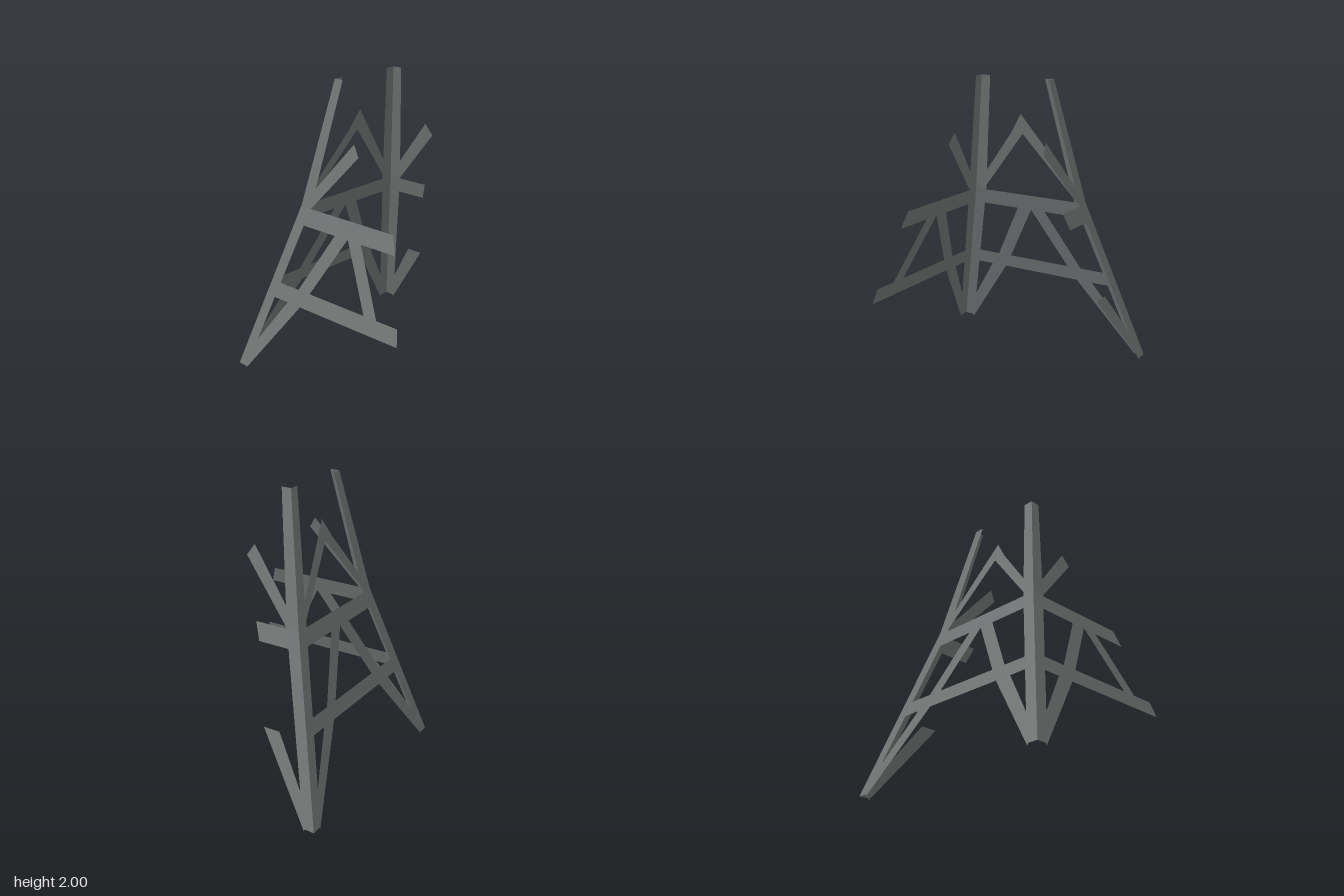
import * as THREE from 'three';

const AXIS_Z = 0.125; // centre line of the four-sided tower

// Half width of the tapering tower at a height; the slope changes at the upper beam
function halfWidth(y) {
  return y < 1.17
    ? THREE.MathUtils.mapLinear(y, 0.015, 1.17, 0.777, 0.445)
    : THREE.MathUtils.mapLinear(y, 1.17, 2, 0.445, 0.28);
}

// Each tower face maps (u across, y up, d distance from the axis) to space
const faces = {
  back: (u, y, d) => [u, y, AXIS_Z - d],
  right: (u, y, d) => [-d, y, AXIS_Z + u],
  left: (u, y, d) => [d, y, AXIS_Z + u],
};

export function createModel() {
  const steel = new THREE.MeshStandardMaterial({ color: 0x707473, side: THREE.DoubleSide });
  steel.name = 'weatheredSteel';
  const tower = new THREE.Group();
  tower.name = 'brokenLatticeTower';

  // Flat convex plate lying in one tower face
  function plate(parent, name, face, points, inset = 0.003) {
    const p = points.map(([u, y]) => faces[face](u, y, halfWidth(y) - inset));
    const pos = [];
    for (let i = 1; i < p.length - 1; i++) {
      pos.push(...p[0], ...(face === 'left' ? [...p[i + 1], ...p[i]] : [...p[i], ...p[i + 1]]));
    }
    const geo = new THREE.BufferGeometry();
    geo.setAttribute('position', new THREE.Float32BufferAttribute(pos, 3));
    geo.computeVertexNormals();
    const mesh = new THREE.Mesh(geo, steel);
    mesh.name = name;
    parent.add(mesh);
  }
  const mirror = (points) => points.map(([u, y]) => [-u, y]).reverse();
  const group = (name) => {
    const g = new THREE.Group();
    g.name = name;
    tower.add(g);
    return g;
  };

  // Angle-section legs: two flanges meeting at the outer corner, bent at the upper beam
  const stations = [[0.015, 0.077], [1.17, 0.088], [2, 0.068]];
  for (const side of ['left', 'right']) {
    const leg = group(side + 'Leg');
    for (let i = 0; i < 2; i++) {
      const [y0, w0] = stations[i];
      const [y1, w1] = stations[i + 1];
      const a = halfWidth(y0), b = halfWidth(y1);
      const flange = [[-a, y0], [-a + w0, y0], [-b + w1, y1], [-b, y1]];
      plate(leg, 'sideFlange', side, flange, 0);
      plate(leg, 'backFlange', 'back', side === 'left' ? mirror(flange) : flange, 0);
    }
  }

  // Shared bracing outlines, drawn on the half with negative u
  const footBrace = [[-0.705, 0], [-0.3, 0.54], [-0.42, 0.54], [-0.73, 0.09]];
  const middleBrace = [[-0.355, 0.62], [-0.25, 0.62], [0, 1.05], [-0.11, 1.05]];
  const peakBrace = [[-0.38, 1.16], [0, 1.61], [0, 1.75], [-0.055, 1.655], [-0.38, 1.25]];
  const snappedBrace = [[-0.36, 1.16], [-0.005, 1.555], [-0.055, 1.63], [-0.385, 1.24]];

  // Complete back face
  const back = group('backBracing');
  plate(back, 'lowerBeam', 'back', [[-0.58, 0.54], [0.58, 0.54], [0.56, 0.64], [-0.56, 0.64]]);
  plate(back, 'upperBeam', 'back', [[-0.43, 1.05], [0.43, 1.05], [0.41, 1.16], [-0.41, 1.16]]);
  for (const shape of [(s) => s, mirror]) {
    plate(back, 'footBrace', 'back', shape(footBrace));
    plate(back, 'middleBrace', 'back', shape(middleBrace));
    plate(back, 'peakBrace', 'back', shape(peakBrace));
  }

  // Right face, with beams ending where the missing front leg stood
  const right = group('rightBracing');
  plate(right, 'lowerBeam', 'right', [[-0.58, 0.535], [0.535, 0.535], [0.51, 0.64], [-0.56, 0.64]]);
  plate(right, 'upperBeam', 'right', [[-0.43, 1.045], [0.39, 1.045], [0.35, 1.16], [-0.41, 1.16]]);
  plate(right, 'footBrace', 'right', footBrace);
  plate(right, 'middleBrace', 'right', middleBrace);
  plate(right, 'middleBrace', 'right', mirror(middleBrace));
  plate(right, 'snappedBrace', 'right', snappedBrace);

  // Left face, only stubs remain
  const left = group('leftBracing');
  plate(left, 'beamStub', 'left', [[-0.43, 1.045], [-0.17, 1.045], [-0.125, 1.16], [-0.41, 1.16]]);
  plate(left, 'footBrace', 'left', footBrace);
  plate(left, 'snappedBrace', 'left', snappedBrace);

  return tower;
}
